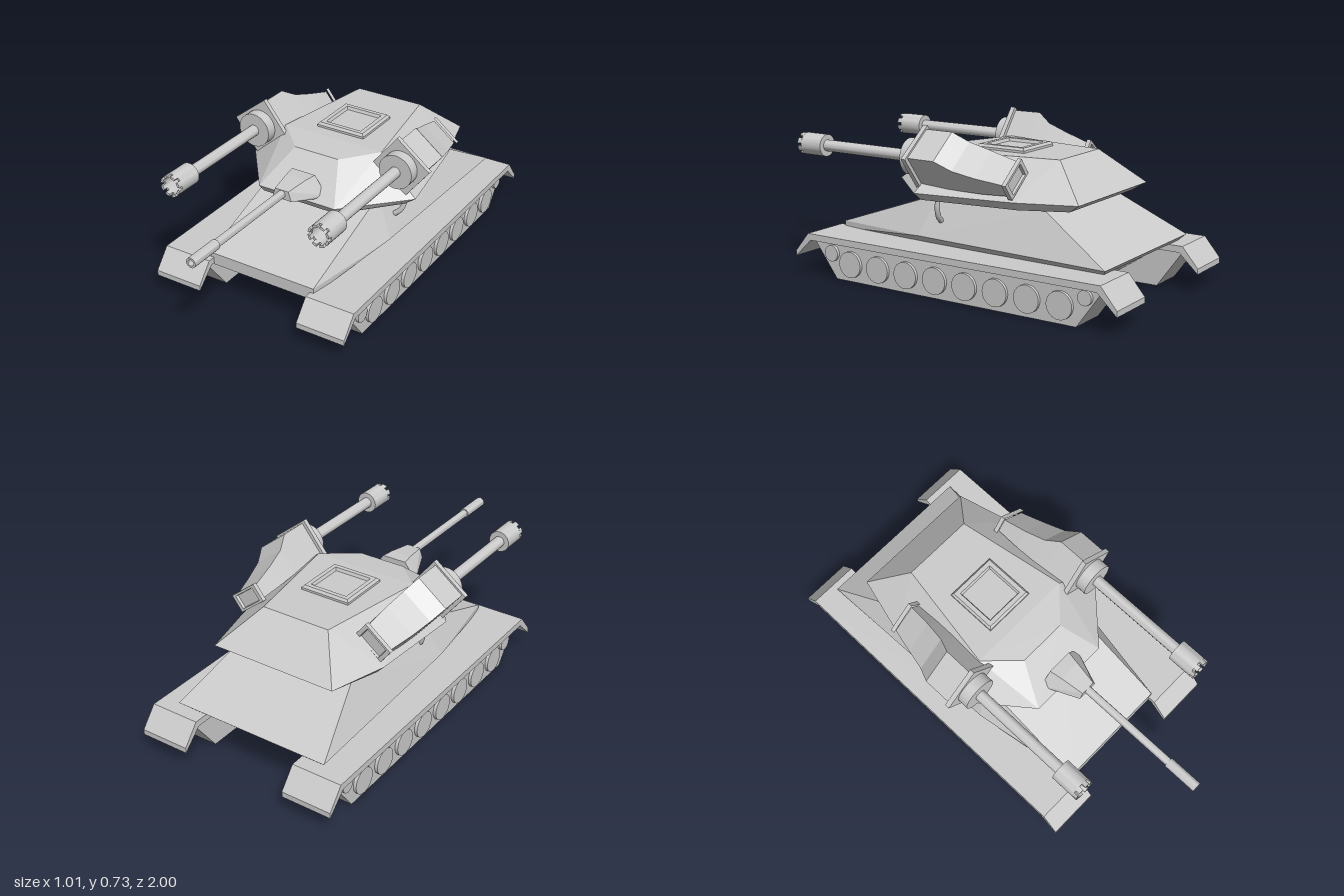
import * as THREE from 'three';
import { toCreasedNormals } from 'three/addons/utils/BufferGeometryUtils.js';
import { ConvexGeometry } from 'three/addons/geometries/ConvexGeometry.js';

const grey = new THREE.MeshStandardMaterial({ color: 0xcccccc });
const flat = new THREE.MeshStandardMaterial({ color: 0xcccccc, flatShading: true });

function add(parent, name, geometry, material = flat) {
  const mesh = new THREE.Mesh(geometry, material);
  mesh.name = name;
  parent.add(mesh);
  return mesh;
}

function group(parent, name, x = 0, y = 0, z = 0) {
  const g = new THREE.Group();
  g.name = name;
  g.position.set(x, y, z);
  parent.add(g);
  return g;
}

// Side profile of [z, y] points extruded from x0 to x1
function extrudeX(points, x0, x1) {
  const shape = new THREE.Shape(points.map(([z, y]) => new THREE.Vector2(z, y)));
  return new THREE.ExtrudeGeometry(shape, { depth: x1 - x0, bevelEnabled: false })
    .rotateY(-Math.PI / 2).translate(x1, 0, 0);
}

// Convex solid; each [x, y, z] corner is mirrored to both sides
function solid(corners) {
  const points = [];
  for (const [x, y, z, left = x] of corners) {
    points.push(new THREE.Vector3(left, y, z), new THREE.Vector3(-x, y, z));
  }
  return new ConvexGeometry(points);
}

// Round part along z from [radius, z] points
function turned(points, sides = 24) {
  const g = new THREE.LatheGeometry(points.map(([r, z]) => new THREE.Vector2(r, z)), sides);
  return toCreasedNormals(g.rotateX(Math.PI / 2), 0.6);
}

// Square-section part rising along y from [half width, y] points
function squareTurned(points) {
  const pts = points.map(([h, y]) => new THREE.Vector2(h * Math.SQRT2, y));
  return toCreasedNormals(new THREE.LatheGeometry(pts, 4, Math.PI / 4), 0.1);
}

// Track, wheels and fender of one side
function addRunningGear(parent, side) {
  const g = group(parent, side > 0 ? 'leftTrack' : 'rightTrack');
  g.scale.x = side;
  add(g, 'trackBody', extrudeX([[0.44, 0], [0.57, 0.17], [-0.92, 0.17], [-0.8, 0]], 0.268, 0.45));
  add(g, 'fender', extrudeX([[0.65, 0.085], [0.65, 0.11], [0.575, 0.2], [-0.925, 0.2],
    [-1, 0.11], [-1, 0.085], [-0.91, 0.17], [0.56, 0.17]], 0.252, 0.488));
  const wheel = (name, z, y, r) => add(g, name,
    new THREE.CylinderGeometry(r, r, 0.03, 24).rotateZ(Math.PI / 2).translate(0.449, y, z), grey);
  for (let i = 0; i < 8; i++) wheel('roadWheel', 0.353 - i * 0.1543, 0.08, 0.06);
  wheel('idlerWheel', 0.46, 0.118, 0.037);
  wheel('driveWheel', -0.842, 0.13, 0.032);
}

// Tilted gun pod with its long barrel
function addSideGun(parent, side) {
  const mirror = group(parent, side > 0 ? 'leftGun' : 'rightGun');
  mirror.scale.x = side;
  const g = group(mirror, 'gunPod', 0.369, 0.592, 0);
  g.rotation.z = -38 * Math.PI / 180;

  // Body tapers and drops toward the rear: [z, half width, bottom, top]
  const sections = [[-0.43, 0.068, -0.1, -0.035], [-0.31, 0.08, -0.095, 0.0],
    [-0.21, 0.085, -0.088, 0.035], [-0.14, 0.086, -0.085, 0.085], [0, 0.086, -0.085, 0.085]];
  const body = new THREE.BoxGeometry(1, 1, 4, 1, 1, 4);
  const p = body.attributes.position;
  for (let i = 0; i < p.count; i++) {
    const [z, w, low, high] = sections[Math.round(p.getZ(i)) + 2];
    p.setXYZ(i, Math.sign(p.getX(i)) * w, p.getY(i) > 0 ? high : low, z);
  }
  add(g, 'podBody', body);
  add(g, 'frontPlate', new THREE.BoxGeometry(0.204, 0.186, 0.022).translate(0, 0, 0.004));

  // Rear frame with recessed panel
  const rear = add(g, 'rearFrame', squareTurned([[0.5, 0], [0.5, 0.02], [0.38, 0.02], [0.36, 0.008], [0, 0.008]])
    .rotateX(-Math.PI / 2));
  rear.scale.set(0.155, 0.085, 1);
  rear.position.set(0, -0.068, -0.428);

  add(g, 'gunMount', turned([[0, 0], [0.08, 0], [0.08, 0.066], [0, 0.066]], 32), grey);
  add(g, 'gunBarrel', turned([[0.026, 0.05], [0.026, 0.56]]), grey);
  add(g, 'muzzleBrake', turned([[0, 0.54], [0.05, 0.54], [0.05, 0.655], [0.039, 0.655],
    [0.039, 0.57], [0, 0.57]], 32), grey);
  // Castellated muzzle rim
  for (let i = 0; i < 8; i++) {
    const a = i * Math.PI / 4, b = a + 0.5;
    const tooth = new THREE.Shape();
    tooth.absarc(0, 0, 0.05, a, b, false);
    tooth.absarc(0, 0, 0.039, b, a, true);
    add(g, 'muzzleTooth', new THREE.ExtrudeGeometry(tooth,
      { depth: 0.022, bevelEnabled: false, curveSegments: 4 }).translate(0, 0, 0.653));
  }
}

export function createModel() {
  const root = new THREE.Group();
  root.name = 'tank';
  const hull = group(root, 'hull', -0.012);
  const turret = group(root, 'turret', -0.012);

  // Hull
  add(hull, 'lowerHull', extrudeX([[0.3, 0.001], [0.54, 0.165], [0.54, 0.21], [-0.86, 0.21],
    [-0.55, 0.001]], -0.268, 0.268));
  add(hull, 'upperHull', solid([[0.268, 0.19, 0.54], [0.268, 0.222, 0.54], [0.3, 0.19, 0],
    [0.355, 0.235, 0.05], [0.378, 0.225, -0.885], [0.34, 0.2, -0.86],
    [0.268, 0.412, 0], [0.285, 0.412, -0.55]]));
  for (const side of [1, -1]) addRunningGear(hull, side);

  // Turret shell: base, rim and roof rings
  add(turret, 'turretShell', solid([
    [0.19, 0.41, 0.235], [0.365, 0.41, 0, 0.4], [0.34, 0.41, -0.45], [0.27, 0.415, -0.66],
    [0.196, 0.447, 0.262], [0.402, 0.447, 0, 0.45], [0.375, 0.447, -0.45], [0.303, 0.453, -0.72],
    [0.113, 0.59, 0.095], [0.252, 0.605, -0.04], [0.166, 0.605, -0.55]]));

  // Roof hatch
  add(turret, 'hatch', squareTurned([[0.121, 0.6], [0.121, 0.615], [0.112, 0.626], [0.092, 0.626],
    [0.086, 0.612], [0, 0.612]]).translate(0, 0, -0.223));

  // Main gun
  add(turret, 'mantlet', solid([[0.117, 0.463, 0.2], [0.06, 0.546, 0.2], [0.09, 0.463, 0.26],
    [0.05, 0.546, 0.26], [0.048, 0.492, 0.37], [0.034, 0.536, 0.37]]));
  add(turret, 'mainBarrel', turned([[0.018, 0.36], [0.018, 0.84], [0.023, 0.84], [0.023, 1],
    [0.014, 1], [0.014, 0.93], [0, 0.93]]).translate(0, 0.516, 0), grey);

  // Bent pipes under the turret and the two side guns
  for (const side of [1, -1]) {
    const path = new THREE.CatmullRomCurve3([[0.343, 0.43, -0.065], [0.341, 0.37, -0.06],
      [0.327, 0.335, -0.055], [0.3, 0.31, -0.05]].map(([x, y, z]) => new THREE.Vector3(side * x + 0.01, y, z)));
    add(root, 'sidePipe', new THREE.TubeGeometry(path, 16, 0.012, 10), grey);
    addSideGun(root, side);
  }
  return root;
}
